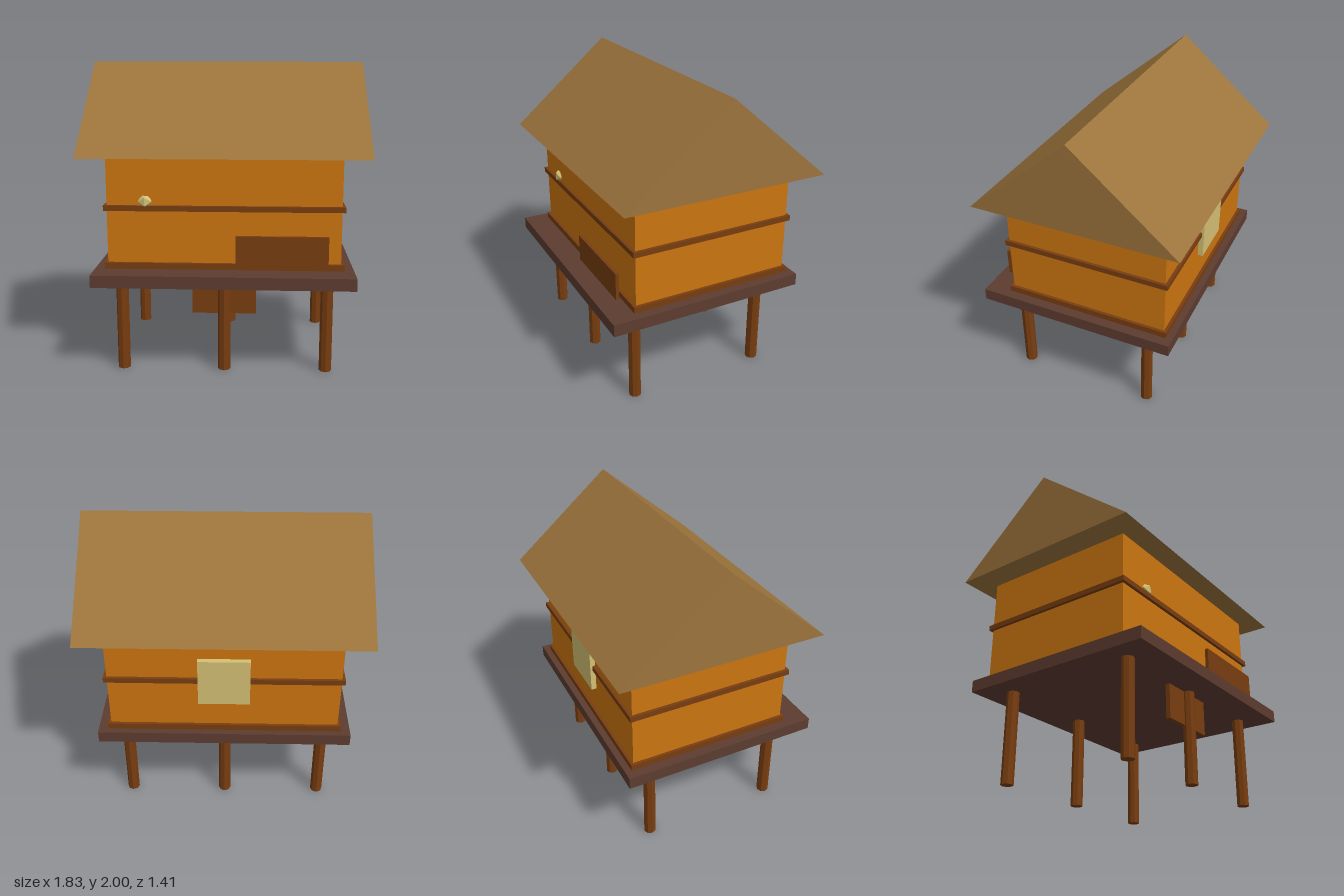
import * as THREE from 'three';

const mat = (name, color) => {
  const m = new THREE.MeshStandardMaterial({ color });
  m.name = name;
  return m;
};

export function createModel() {
  const group = new THREE.Group();
  const ochre = mat('ochre wall', 0xcc7510);
  const wood = mat('brown wood', 0x783d10);
  const deck = mat('dark deck', 0x5d3c30);
  const thatch = mat('thatch', 0x9d743c);
  const straw = mat('pale straw', 0xd4c074);

  const add = (name, geometry, material, x = 0, y = 0, z = 0) => {
    const mesh = new THREE.Mesh(geometry, material);
    mesh.name = name;
    mesh.position.set(x, y, z);
    group.add(mesh);
    return mesh;
  };
  // box given by its extents on each axis
  const box = (name, material, [x0, x1], [y0, y1], [z0, z1]) =>
    add(name, new THREE.BoxGeometry(x1 - x0, y1 - y0, z1 - z0), material,
      (x0 + x1) / 2, (y0 + y1) / 2, (z0 + z1) / 2);

  // stilts: two rows of three
  const post = new THREE.CylinderGeometry(0.041, 0.041, 0.62, 8).toNonIndexed();
  post.computeVertexNormals();
  for (const z of [0.5, -0.415])
    for (const x of [-0.667, 0, 0.667]) add('stilt', post, wood, x, 0.31, z);

  // platform and house body
  box('platform', deck, [-0.833, 0.833], [0.61, 0.69], [-0.625, 0.71]);
  box('walls', ochre, [-0.75, 0.75], [0.685, 1.43], [-0.562, 0.525]);
  for (const [y0, y1] of [[0.685, 0.73], [1.07, 1.105]])
    box('wallBand', wood, [-0.77, 0.77], [y0, y1], [-0.582, 0.545]);

  // solid gabled roof, ridge along x
  const gable = new THREE.Shape([
    new THREE.Vector2(-0.705, 1.42),
    new THREE.Vector2(0.667, 1.42),
    new THREE.Vector2(-0.019, 2),
  ]);
  const roof = new THREE.ExtrudeGeometry(gable, { depth: 1.83, bevelEnabled: false });
  roof.rotateY(-Math.PI / 2).translate(0.915, 0, 0);
  add('roof', roof, thatch);

  // front and under-deck boards, back shutter, wall knob
  box('frontBoard', wood, [0.077, 0.662], [0.747, 0.928], [0.595, 0.617]);
  box('hangingBoard', wood, [-0.208, 0.208], [0.38, 0.62], [0.46, 0.49]);
  box('backShutter', straw, [-0.167, 0.167], [0.92, 1.25], [-0.597, -0.56]);
  add('wallKnob', new THREE.IcosahedronGeometry(0.051, 0), straw, -0.503, 1.13, 0.508);

  return group;
}
